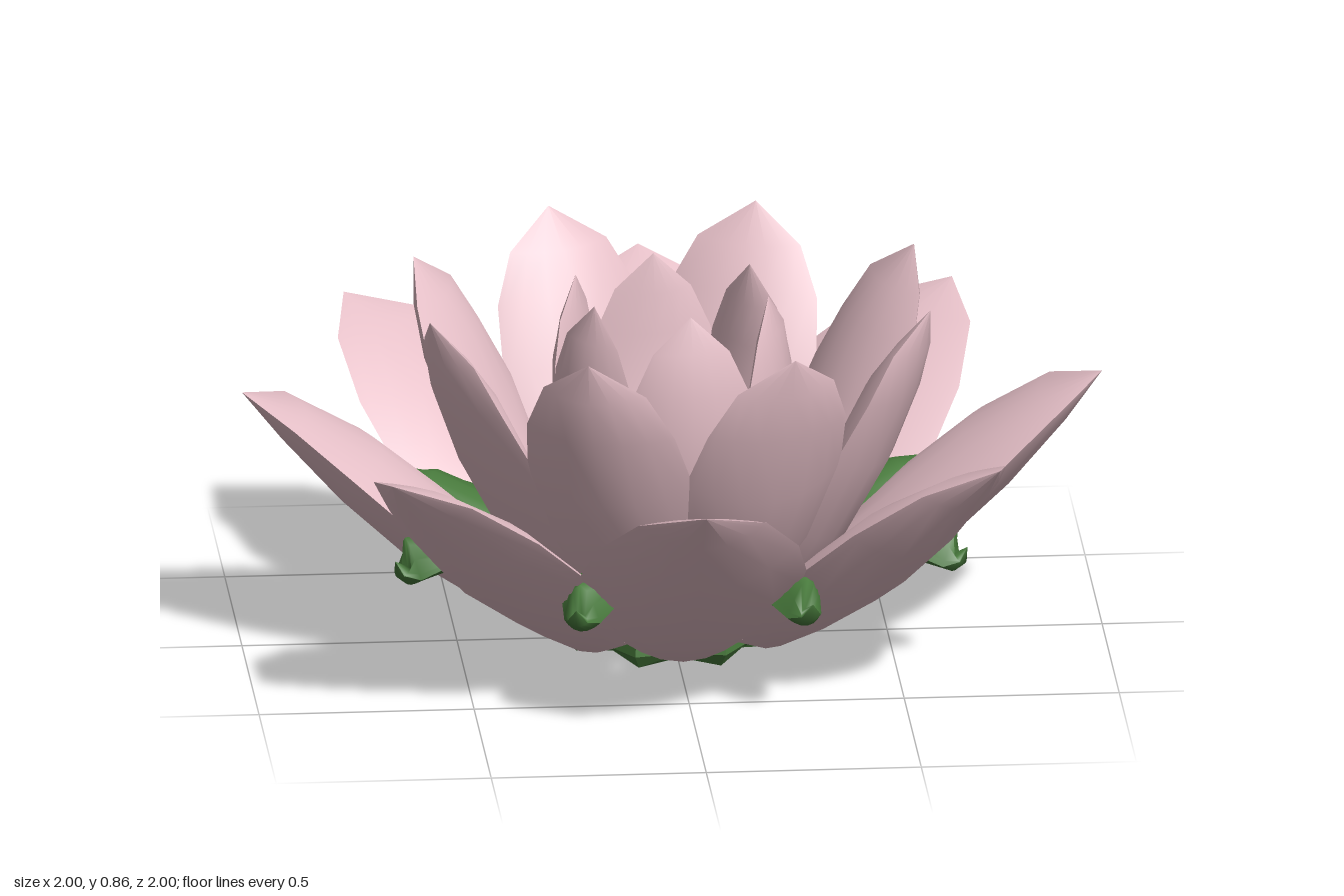
import * as THREE from 'three';

const petalPink = new THREE.MeshStandardMaterial({ color: 0xe6c0c8 });
petalPink.name = 'petalPink';
const sepalGreen = new THREE.MeshStandardMaterial({ color: 0x487a3c });
sepalGreen.name = 'sepalGreen';
const seedYellow = new THREE.MeshStandardMaterial({ color: 0xe2c679 });
seedYellow.name = 'seedYellow';

const ACROSS = 8;

// Closed, plump petal pointing to +z.
// Each station: [spine radius, spine y, half width, rim radius, rim y, thickness]
function petalGeometry(stations) {
  const positions = [];
  const index = [];
  const row = ACROSS + 1;
  for (const side of [0, 1]) { // 0 = outer skin, 1 = inner skin
    const start = positions.length / 3;
    stations.forEach(([r, y, w, er, ey, t], i) => {
      const a = stations[Math.max(i - 1, 0)];
      const b = stations[Math.min(i + 1, stations.length - 1)];
      const length = Math.hypot(b[0] - a[0], b[1] - a[1]);
      const ny = (b[0] - a[0]) / length;
      const nz = -(b[1] - a[1]) / length;
      for (let j = 0; j <= ACROSS; j++) {
        const s = Math.sin((j / ACROSS - 0.5) * Math.PI);
        const k = s * s;
        const lift = side * t * (1 - k);
        positions.push(w * s, y + (ey - y) * k + ny * lift, r + (er - r) * k + nz * lift);
      }
    });
    for (let i = 0; i < stations.length - 1; i++) {
      for (let j = 0; j < ACROSS; j++) {
        const a = start + i * row + j;
        const b = a + 1, c = a + row, d = c + 1;
        if (side) index.push(a, c, b, b, c, d);
        else index.push(a, b, c, b, d, c);
      }
    }
  }
  const geometry = new THREE.BufferGeometry();
  geometry.setAttribute('position', new THREE.Float32BufferAttribute(positions, 3));
  geometry.setIndex(index);
  geometry.computeVertexNormals();
  return geometry;
}

// Ring of identical petals around the y axis
function petalRing(name, stations, count, offsetDegrees, material) {
  const ring = new THREE.Group();
  ring.name = name + 's';
  const geometry = petalGeometry(stations);
  for (let i = 0; i < count; i++) {
    const petal = new THREE.Mesh(geometry, material);
    petal.name = name;
    petal.rotation.y = THREE.MathUtils.degToRad(offsetDegrees) + (i / count) * Math.PI * 2;
    ring.add(petal);
  }
  return ring;
}

export function createModel() {
  const flower = new THREE.Group();
  flower.name = 'waterLily';

  // Wide, low outer petals with softly bulging upper faces
  flower.add(petalRing('outerPetal', [
    [0.18, 0.04, 0.06, 0.18, 0.045, 0],
    [0.33, 0.045, 0.135, 0.33, 0.095, 0.09],
    [0.46, 0.115, 0.22, 0.45, 0.215, 0.14],
    [0.62, 0.22, 0.268, 0.61, 0.345, 0.16],
    [0.78, 0.365, 0.235, 0.75, 0.465, 0.15],
    [0.915, 0.515, 0.15, 0.89, 0.57, 0.085],
    [1.0, 0.62, 0, 1.0, 0.62, 0],
  ], 8, 0, petalPink));

  // Steeper middle petals
  flower.add(petalRing('middlePetal', [
    [0.14, 0.06, 0.06, 0.14, 0.065, 0],
    [0.28, 0.13, 0.11, 0.26, 0.17, 0.07],
    [0.42, 0.29, 0.175, 0.37, 0.34, 0.11],
    [0.525, 0.48, 0.203, 0.46, 0.53, 0.125],
    [0.59, 0.65, 0.18, 0.535, 0.67, 0.11],
    [0.62, 0.76, 0.125, 0.58, 0.78, 0.07],
    [0.63, 0.86, 0, 0.63, 0.86, 0],
  ], 8, 22.5, petalPink));

  // Upright inner cup
  flower.add(petalRing('innerPetal', [
    [0.08, 0.06, 0.06, 0.07, 0.06, 0],
    [0.16, 0.17, 0.105, 0.13, 0.18, 0.06],
    [0.24, 0.34, 0.155, 0.195, 0.35, 0.085],
    [0.28, 0.52, 0.16, 0.225, 0.53, 0.085],
    [0.28, 0.67, 0.135, 0.24, 0.67, 0.07],
    [0.262, 0.77, 0.09, 0.243, 0.77, 0.045],
    [0.237, 0.855, 0, 0.237, 0.855, 0],
  ], 6, 6, petalPink));

  // Sepals filling the gaps between the outer petals, with blunt upturned ends
  flower.add(petalRing('sepal', [
    [0.15, 0.09, 0.03, 0.15, 0.1, 0],
    [0.3, 0.15, 0.05, 0.3, 0.16, 0.05],
    [0.45, 0.23, 0.1, 0.45, 0.27, 0.06],
    [0.58, 0.255, 0.085, 0.58, 0.3, 0.085],
    [0.69, 0.23, 0.044, 0.675, 0.25, 0.115],
    [0.715, 0.25, 0.025, 0.71, 0.26, 0.04],
    [0.72, 0.29, 0, 0.72, 0.29, 0],
  ], 8, 22.5, sepalGreen));

  // Scalloped base, raised slightly between the lobes
  let base = new THREE.CylinderGeometry(0.27, 0.25, 0.065, 16, 2);
  const p = base.attributes.position;
  for (let i = 0; i < p.count; i++) {
    const x = p.getX(i), y = p.getY(i), z = p.getZ(i);
    const lobe = Math.round(Math.atan2(x, z) / (Math.PI / 8)) % 2 !== 0;
    const scale = (lobe ? 1 : 0.84) * (Math.abs(y) < 0.01 ? 1.06 : 1);
    p.setXYZ(i, x * scale, !lobe && y < -0.01 ? y + 0.015 : y, z * scale);
  }
  base = base.toNonIndexed();
  base.computeVertexNormals();
  const baseMesh = new THREE.Mesh(base, sepalGreen);
  baseMesh.name = 'base';
  baseMesh.position.y = 0.0325;
  flower.add(baseMesh);

  // Seed disc at the bottom of the cup
  const disc = new THREE.Mesh(new THREE.CylinderGeometry(0.11, 0.09, 0.08, 6), seedYellow);
  disc.name = 'seedDisc';
  disc.position.y = 0.115;
  disc.rotation.y = THREE.MathUtils.degToRad(36);
  flower.add(disc);

  return flower;
}
